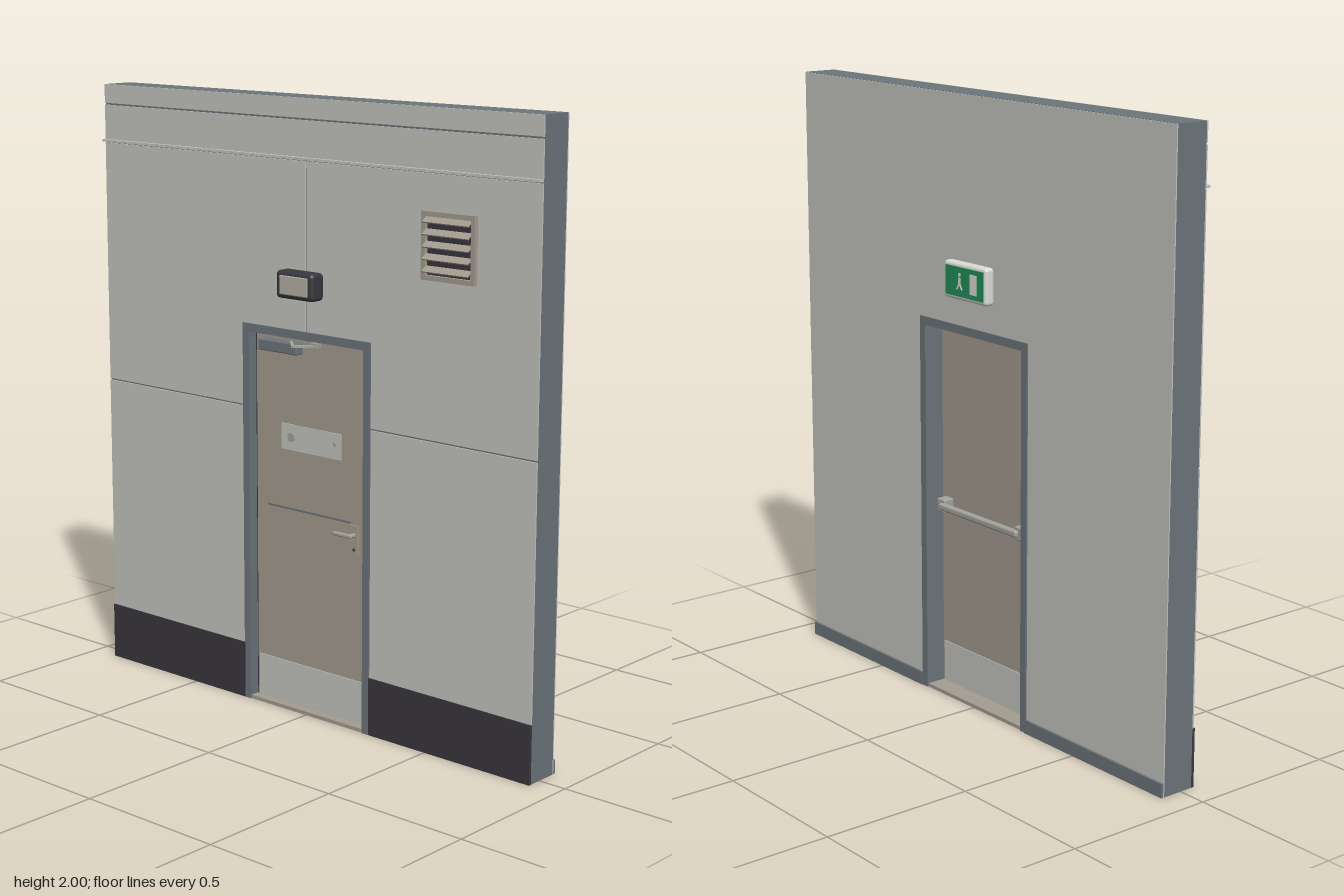
import * as THREE from 'three';
import { RoundedBoxGeometry } from 'three/addons/geometries/RoundedBoxGeometry.js';

const mat = (name, color) => {
  const m = new THREE.MeshStandardMaterial({ color });
  m.name = name;
  return m;
};

export function createModel() {
  const model = new THREE.Group();
  model.name = 'wallWithDoor';
  const panel = mat('lightPanel', 0xc4c5bf);
  const slate = mat('slate', 0x6c757b);
  const dark = mat('darkPlinth', 0x39373e);
  const beige = mat('doorBeige', 0xa49c90);
  const steel = mat('steel', 0xa5a39c);
  const lens = mat('lampLens', 0xb5afa4);
  const white = mat('signWhite', 0xdcdcd6);
  const green = mat('signGreen', 0x1f9058);

  const add = (name, geo, m, parent = model) => {
    const mesh = new THREE.Mesh(geo, m);
    mesh.name = name;
    parent.add(mesh);
    return mesh;
  };
  // Box given by its limits on each axis
  const box = (name, m, x0, x1, y0, y1, z0, z1, parent) => {
    const b = add(name, new THREE.BoxGeometry(x1 - x0, y1 - y0, z1 - z0), m, parent);
    b.position.set((x0 + x1) / 2, (y0 + y1) / 2, (z0 + z1) / 2);
    return b;
  };
  const rounded = (name, m, x0, x1, y0, y1, z0, z1, r, parent) => {
    const b = add(name, new RoundedBoxGeometry(x1 - x0, y1 - y0, z1 - z0, 3, r), m, parent);
    b.position.set((x0 + x1) / 2, (y0 + y1) / 2, (z0 + z1) / 2);
    return b;
  };
  const extrude = (name, m, pts, z0, z1, parent) => {
    const shape = new THREE.Shape(pts.map(([x, y]) => new THREE.Vector2(x, y)));
    const mesh = add(name, new THREE.ExtrudeGeometry(shape, { depth: z1 - z0, bevelEnabled: false }), m, parent);
    mesh.position.z = z0;
    return mesh;
  };
  // Upside-down U: outer half width and height, inner half width and height
  const arch = (name, m, W, H, w, h, z0, z1, parent) => extrude(name, m,
    [[-W, 0], [-w, 0], [-w, h], [w, h], [w, 0], [W, 0], [W, H], [-W, H]], z0, z1, parent);
  const disc = (name, m, r, depth, x, y, z, parent) => {
    const d = add(name, new THREE.CylinderGeometry(r, r, depth, 24), m, parent);
    d.rotation.x = Math.PI / 2;
    d.position.set(x, y, z);
    return d;
  };

  // Wall core and back lining
  const W = 0.905, F = 0.048, B = -0.071;
  arch('wallCore', slate, W, 2, 0.26, 1.26, -0.067, 0.043);
  arch('backLining', panel, W, 1.999, 0.262, 1.262, B, -0.067);

  // Front cladding with narrow joints, plinth and back skirting
  const g = 0.003;
  for (const s of [-1, 1]) {
    const side = (name, m, pts, z0, z1) => extrude(name, m, pts.map(([x, y]) => [s * x, y]), z0, z1);
    const rect = (x0, x1, y0, y1) => [[x0, y0], [x1, y0], [x1, y1], [x0, y1]];
    side('lowerPanel', panel, rect(0.265, W, 0.19, 1.0 - 2 * g), 0.043, F);
    side('upperPanel', panel, [[g, 1.265], [0.265, 1.265], [0.265, 1.0], [W, 1.0], [W, 1.806], [g, 1.806]], 0.043, F);
    side('plinth', dark, rect(0.268, W, 0, 0.19), 0.043, 0.053);
    side('skirting', slate, rect(0.268, W, 0, 0.045), -0.079, B);
  }
  box('fasciaPanel', panel, -W, W, 1.818, 1.932, 0.043, F);
  box('topPanel', panel, -W, W, 1.938, 2, 0.043, F);
  box('dripRail', panel, -W, W, 1.81, 1.818, 0.043, 0.062);

  // Door frame, seal and sill
  const frame = new THREE.Group();
  frame.name = 'doorFrame';
  model.add(frame);
  arch('frame', slate, 0.27, 1.27, 0.243, 1.243, -0.076, 0.053, frame);
  arch('seal', dark, 0.243, 1.243, 0.24, 1.24, -0.005, 0.018, frame);
  box('sill', beige, -0.243, 0.243, 0, 0.012, -0.072, 0.05, frame);

  // Door leaf with kick plates, notice plate and rail
  const door = new THREE.Group();
  door.name = 'door';
  model.add(door);
  const D = 0.02, K = -0.01;
  box('leaf', beige, -0.238, 0.238, 0.014, 1.238, K, D, door);
  box('frontKickPlate', panel, -0.23, 0.23, 0.016, 0.155, D, D + 0.003, door);
  box('backKickPlate', panel, -0.23, 0.23, 0.016, 0.155, K - 0.003, K, door);
  box('noticePlate', panel, -0.128, 0.126, 0.87, 0.955, D, D + 0.003, door);
  disc('noticeMark', steel, 0.015, 0.002, -0.086, 0.913, D + 0.004, door);
  disc('noticeDot', steel, 0.006, 0.002, 0.1, 0.918, D + 0.004, door);
  box('trimStrip', slate, -0.19, 0.168, 0.672, 0.678, D, D + 0.003, door);

  // Lever handle
  const handle = new THREE.Group();
  handle.name = 'leverHandle';
  door.add(handle);
  box('handlePlate', beige, 0.168, 0.2, 0.57, 0.67, D, D + 0.006, handle);
  disc('handleNeck', steel, 0.007, 0.024, 0.185, 0.638, D + 0.016, handle);
  rounded('lever', steel, 0.115, 0.194, 0.631, 0.645, D + 0.022, D + 0.034, 0.005, handle);
  disc('keyhole', dark, 0.005, 0.002, 0.185, 0.59, D + 0.007, handle);

  // Door closer with folding arm
  const closer = new THREE.Group();
  closer.name = 'doorCloser';
  model.add(closer);
  rounded('closerBody', slate, -0.202, -0.036, 1.19, 1.226, D, 0.054, 0.004, closer);
  const arm = (name, a, b) => {
    const link = add(name, new THREE.BoxGeometry(Math.hypot(b[0] - a[0], b[1] - a[1]), 0.007, 0.011), steel, closer);
    link.position.set((a[0] + b[0]) / 2, 1.229, (a[1] + b[1]) / 2);
    link.rotation.y = -Math.atan2(b[1] - a[1], b[0] - a[0]);
  };
  arm('lowerArm', [-0.065, 0.045], [-0.01, 0.098]);
  arm('upperArm', [-0.01, 0.098], [0.036, 0.045]);
  box('armBracket', steel, 0.02, 0.042, 1.222, 1.238, D, 0.05, closer);

  // Push bar on the back
  const bar = new THREE.Group();
  bar.name = 'pushBar';
  door.add(bar);
  for (const x of [-0.2, 0.2])
    rounded('barBracket', steel, x - 0.02, x + 0.02, 0.617, 0.663, -0.05, K, 0.005, bar);
  rounded('barRail', steel, -0.2, 0.2, 0.628, 0.652, -0.062, -0.04, 0.008, bar);

  // Lamp above the door
  const lamp = new THREE.Group();
  lamp.name = 'wallLamp';
  model.add(lamp);
  rounded('lampBody', dark, -0.078, 0.078, 1.378, 1.466, F - 0.002, 0.105, 0.014, lamp);
  rounded('lampLens', lens, -0.06, 0.06, 1.391, 1.453, 0.098, 0.107, 0.004, lamp);

  // Louvred vent
  const vent = new THREE.Group();
  vent.name = 'vent';
  model.add(vent);
  box('ventBack', dark, 0.48, 0.67, 1.495, 1.69, F, 0.05, vent);
  for (const x of [0.474, 0.661]) box('ventStile', beige, x, x + 0.015, 1.489, 1.695, F, 0.062, vent);
  for (const y of [1.489, 1.68]) box('ventRail', beige, 0.489, 0.661, y, y + 0.015, F, 0.062, vent);
  for (let i = 0; i < 5; i++) {
    const slat = add('ventSlat', new THREE.BoxGeometry(0.174, 0.004, 0.027), beige, vent);
    slat.position.set(0.575, 1.523 + i * 0.037, 0.065);
    slat.rotation.x = 0.6;
  }

  // Exit sign on the back
  const sign = new THREE.Group();
  sign.name = 'exitSign';
  model.add(sign);
  rounded('signBody', white, -0.107, 0.107, 1.36, 1.48, -0.105, B + 0.002, 0.012, sign);
  box('signFace', green, -0.094, 0.094, 1.373, 1.467, -0.107, -0.1, sign);
  box('signDoor', white, -0.062, -0.03, 1.388, 1.452, -0.109, -0.106, sign);
  disc('figureHead', white, 0.006, 0.003, 0.022, 1.443, -0.1075, sign);
  box('figureBody', white, 0.016, 0.028, 1.414, 1.434, -0.109, -0.106, sign);
  for (const s of [-1, 1]) {
    const leg = box('figureLeg', white, 0.019, 0.025, 1.394, 1.416, -0.109, -0.106, sign);
    leg.position.x += s * 0.007;
    leg.rotation.z = s * 0.6;
  }
  return model;
}
